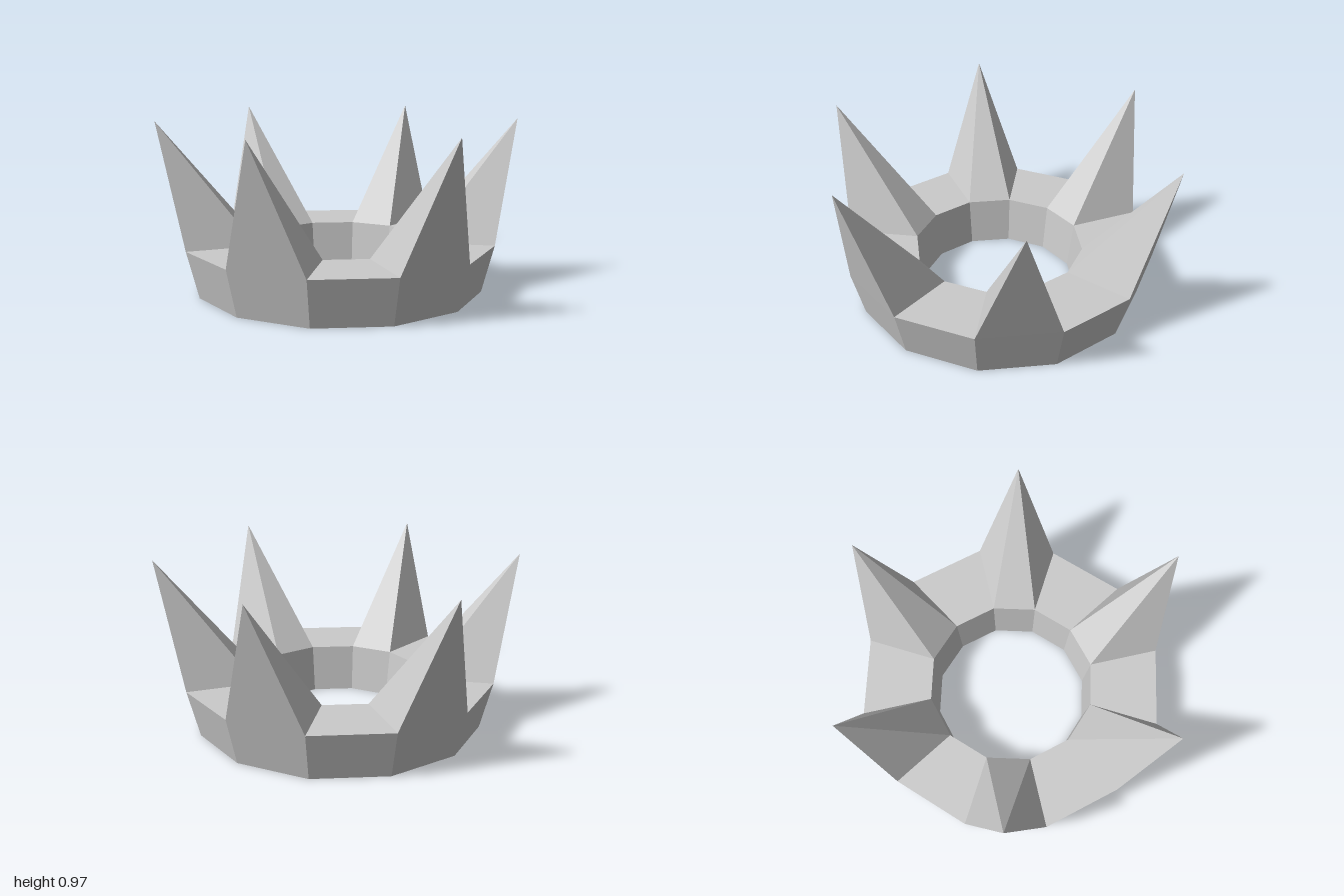
import * as THREE from 'three';

const SIDES = 12;
const TOP = 0.272, TIP = 0.97;
const OUTER = 0.896, INNER = 0.49, TIP_RADIUS = 1.035;

const polar = (r, step, y) => {
  const a = (step / SIDES) * Math.PI * 2;
  return new THREE.Vector3(r * Math.sin(a), y, r * Math.cos(a));
};

// Builds a flat-faced mesh from a list of triangle corners
function facetMesh(name, points, material) {
  const geometry = new THREE.BufferGeometry().setFromPoints(points);
  geometry.computeVertexNormals();
  const mesh = new THREE.Mesh(geometry, material);
  mesh.name = name;
  return mesh;
}

export function createModel() {
  const group = new THREE.Group();
  group.name = 'crown';
  const material = new THREE.MeshStandardMaterial({ color: 0xcccccc, flatShading: true });

  // Flared band: inner wall, underside and outer wall
  const profile = [[INNER, TOP], [0.455, 0], [0.826, 0], [OUTER, TOP]];
  const band = new THREE.Mesh(
    new THREE.LatheGeometry(profile.map(([r, y]) => new THREE.Vector2(r, y)), SIDES),
    material
  );
  band.name = 'band';
  group.add(band);

  // Rim: spikes alternate with flat panels
  for (let i = 0; i < SIDES; i++) {
    const c = [
      polar(OUTER, i, TOP), polar(OUTER, i + 1, TOP),
      polar(INNER, i + 1, TOP), polar(INNER, i, TOP),
    ];
    if (i % 2 === 0) {
      // Four-sided spike leaning outward
      const tip = polar(TIP_RADIUS, i + 0.5, TIP);
      const sides = c.flatMap((p, k) => [p, c[(k + 1) % 4], tip]);
      group.add(facetMesh('spike', sides, material));
    } else {
      group.add(facetMesh('rimPanel', [c[0], c[1], c[2], c[0], c[2], c[3]], material));
    }
  }
  return group;
}
